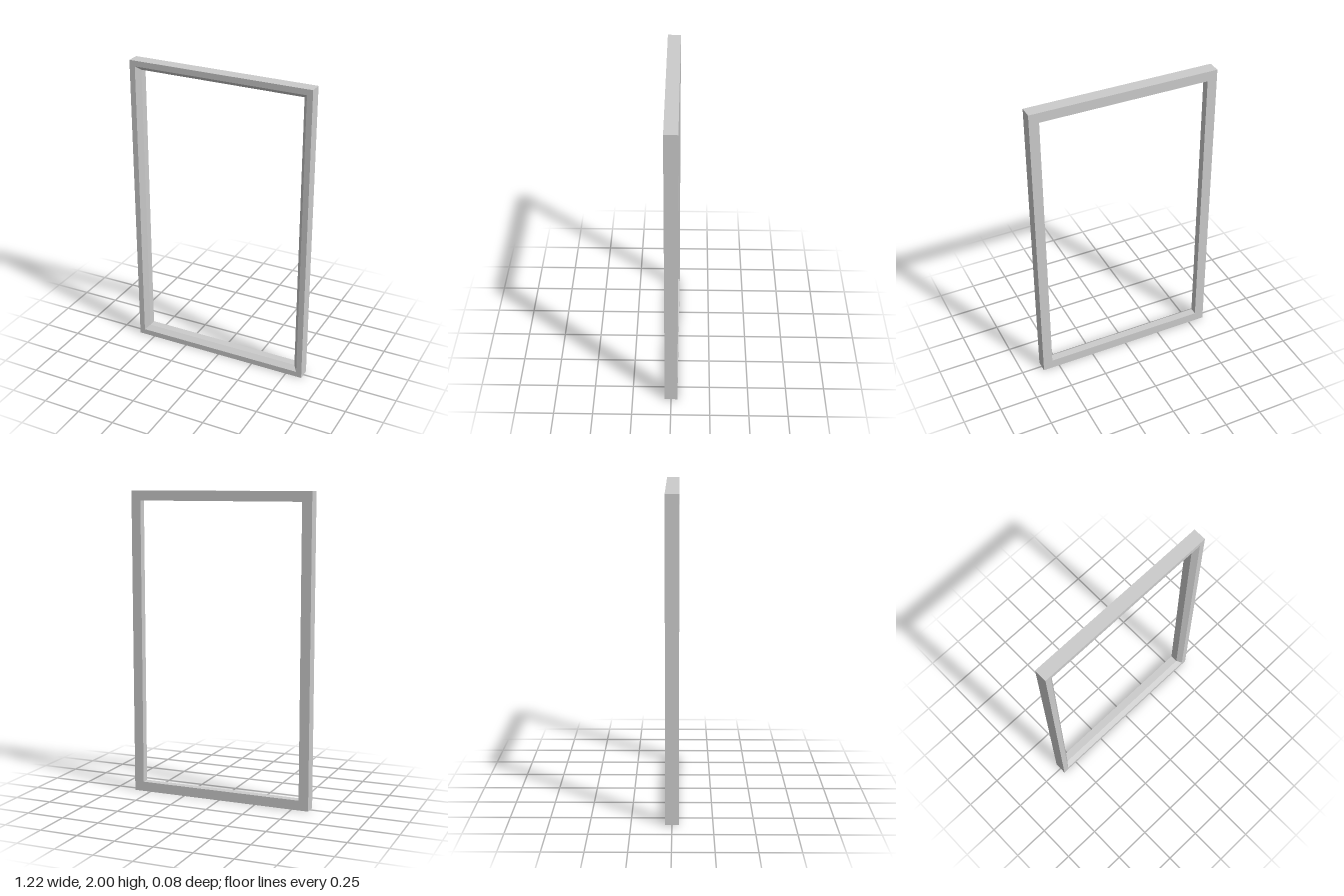
import * as THREE from 'three';

const HALF_W = 0.612, HEIGHT = 2, HALF_D = 0.0415;

// Moulding cross-section: [inset from the outer edge, z], with a bevel on the front inner edge
const PROFILE = [
  [0, -HALF_D],
  [0, HALF_D],
  [0.037, HALF_D],
  [0.064, HALF_D - 0.032],
  [0.064, -HALF_D],
];

// Corners as [x side, y side], anticlockwise from the front
const CORNERS = [[-1, -1], [1, -1], [1, 1], [-1, 1]];

function cornerPoint([sx, sy], [inset, z]) {
  return [sx * (HALF_W - inset), HEIGHT / 2 + sy * (HEIGHT / 2 - inset), z];
}

// One mitred rail running between two corners
function railGeometry(from, to) {
  const positions = [];
  PROFILE.forEach((p, i) => {
    const q = PROFILE[(i + 1) % PROFILE.length];
    const a = cornerPoint(from, p), b = cornerPoint(to, p);
    const c = cornerPoint(to, q), d = cornerPoint(from, q);
    positions.push(...a, ...b, ...c, ...a, ...c, ...d);
  });
  const geometry = new THREE.BufferGeometry();
  geometry.setAttribute('position', new THREE.Float32BufferAttribute(positions, 3));
  geometry.computeVertexNormals();
  return geometry;
}

export function createModel() {
  const model = new THREE.Group();
  model.name = 'frame';
  const material = new THREE.MeshStandardMaterial({ color: 0xcccccc, flatShading: true });

  // Four rails meeting at mitred corners
  ['bottomRail', 'leftStile', 'topRail', 'rightStile'].forEach((name, i) => {
    const rail = new THREE.Mesh(railGeometry(CORNERS[i], CORNERS[(i + 1) % 4]), material);
    rail.name = name;
    model.add(rail);
  });
  return model;
}
